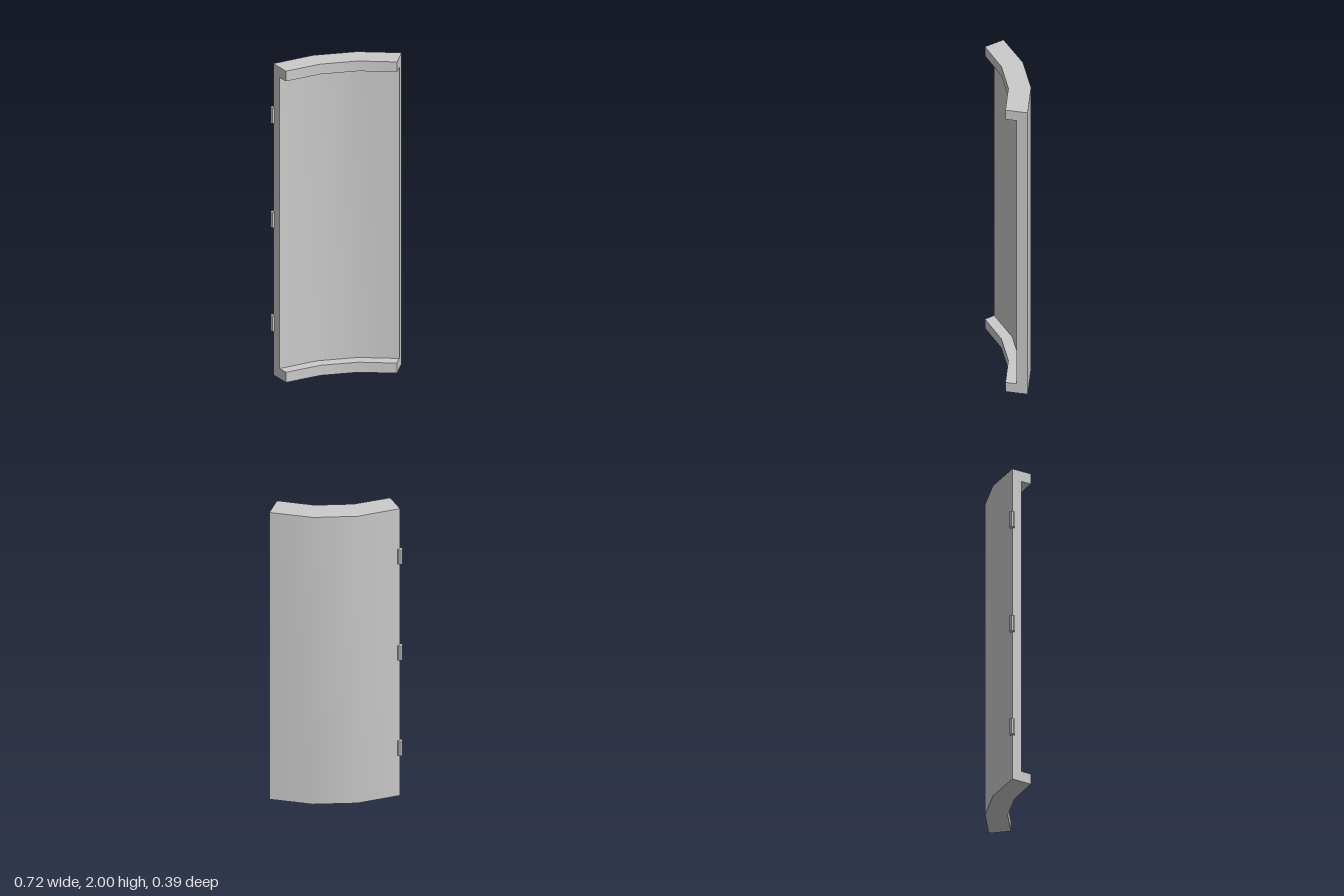
import * as THREE from 'three';
import { toCreasedNormals } from 'three/addons/utils/BufferGeometryUtils.js';

const HEIGHT = 2, LIP = 0.065;

// Curved section seen from above, as [x, z] from the hinge edge to the free edge
const BACK = [[-0.345, 0.1], [-0.14, -0.06], [0.102, -0.16], [0.36, -0.195]];
const FRONT = [[-0.252, 0.191], [-0.073, 0.055], [0.137, -0.032], [0.36, -0.062]];
const MIDDLE = BACK.map(([x, z], i) => [(x + FRONT[i][0]) / 2, (z + FRONT[i][1]) / 2]);

export function createModel() {
  const group = new THREE.Group();
  const material = new THREE.MeshStandardMaterial({ color: 0xcccccc });

  function add(name, geometry, x, y, z) {
    const mesh = new THREE.Mesh(toCreasedNormals(geometry, 0.5), material);
    mesh.name = name;
    mesh.position.set(x, y, z);
    group.add(mesh);
  }

  // Upright slab between two curves of the section
  function slab(back, front, height) {
    const outline = [...front, ...[...back].reverse()];
    const shape = new THREE.Shape(outline.map(([x, z]) => new THREE.Vector2(x, -z)));
    return new THREE.ExtrudeGeometry(shape, { depth: height, bevelEnabled: false }).rotateX(-Math.PI / 2);
  }

  // Thin curved door panel
  add('doorPanel', slab(BACK, MIDDLE, HEIGHT), 0, 0, 0);

  // Lips that thicken the bottom and top edges on the front
  add('bottomLip', slab(MIDDLE, FRONT, LIP), 0, 0, 0);
  add('topLip', slab(MIDDLE, FRONT, LIP), 0, HEIGHT - LIP, 0);

  // Three hinge pins along the left-hand edge of the front
  for (const y of [0.335, 1.0, 1.67]) {
    add('hingePin', new THREE.CylinderGeometry(0.016, 0.016, 0.1, 8), -0.346, y, 0.099);
  }
  return group;
}
